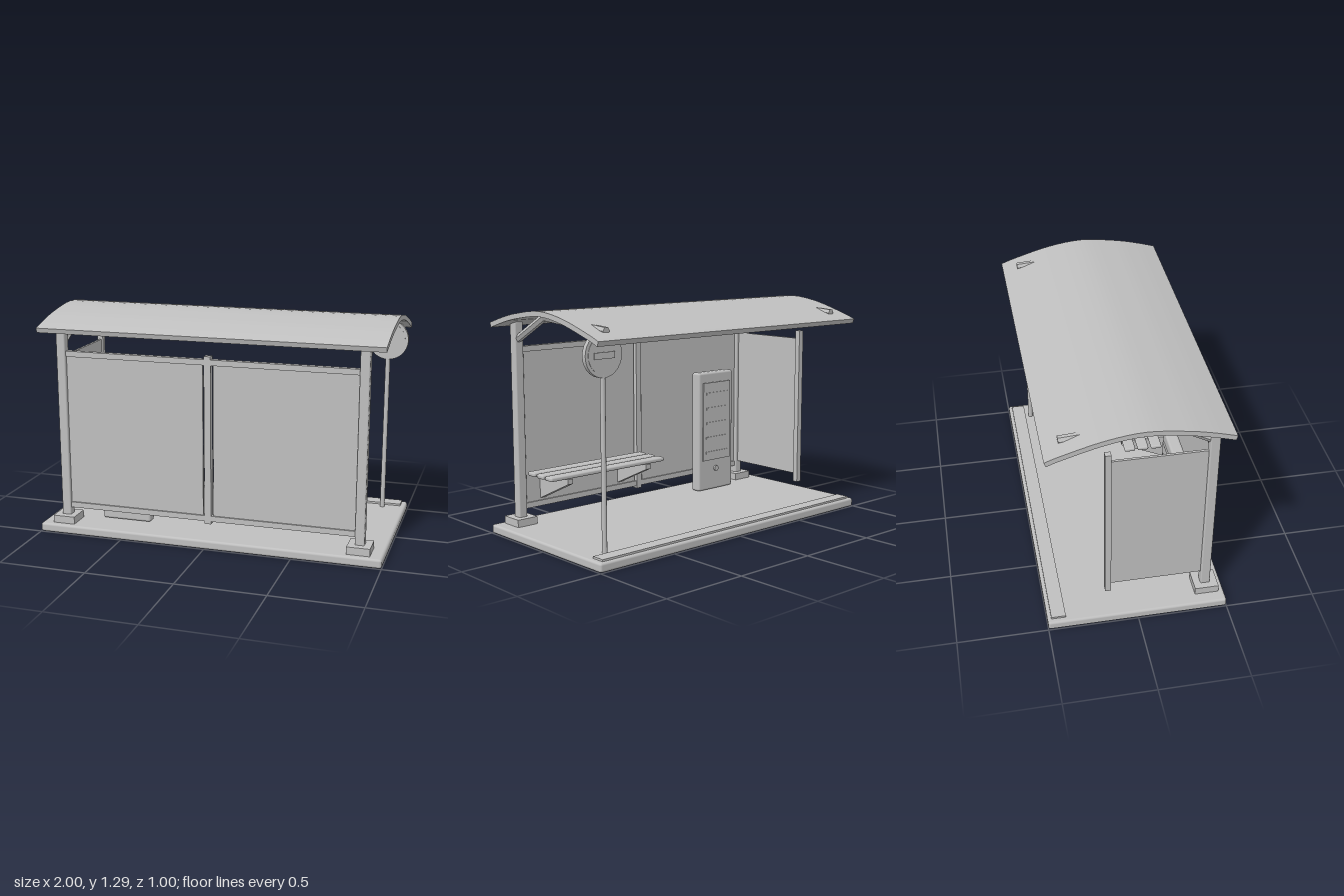
import * as THREE from 'three';
import { RoundedBoxGeometry } from 'three/addons/geometries/RoundedBoxGeometry.js';

export function createModel() {
  const model = new THREE.Group();
  model.name = 'busShelter';
  const grey = new THREE.MeshStandardMaterial({ color: 0xbfbfbf });
  grey.name = 'plainGrey';

  const add = (name, geometry, x = 0, y = 0, z = 0) => {
    const mesh = new THREE.Mesh(geometry, grey);
    mesh.name = name;
    mesh.position.set(x, y, z);
    model.add(mesh);
    return mesh;
  };
  // Boxes are given by their lower and upper limits on each axis
  const box = (name, [x0, x1], [y0, y1], [z0, z1], radius = 0) => {
    const size = [x1 - x0, y1 - y0, z1 - z0];
    const geometry = radius
      ? new RoundedBoxGeometry(...size, 2, radius)
      : new THREE.BoxGeometry(...size);
    return add(name, geometry, (x0 + x1) / 2, (y0 + y1) / 2, (z0 + z1) / 2);
  };
  // Extrudes a (z, y) outline along x, centred on the given x
  const extrudeX = (name, points, width, x) => {
    const shape = new THREE.Shape(points.map(([z, y]) => new THREE.Vector2(-z, y)));
    const geometry = new THREE.ExtrudeGeometry(shape, { depth: width, bevelEnabled: false });
    geometry.translate(0, 0, -width / 2).rotateY(Math.PI / 2);
    return add(name, geometry, x);
  };

  // Ground slab and kerb strip
  box('slab', [-1, 1], [0, 0.052], [-0.5, 0.5], 0.014);
  box('kerbStrip', [-0.97, 0.97], [0.05, 0.063], [-0.48, -0.4]);

  // Curved roof sheet
  const curve = new THREE.SplineCurve([
    [-0.485, 1.17], [-0.4, 1.201], [-0.184, 1.263], [0.02, 1.289],
    [0.225, 1.266], [0.36, 1.237], [0.482, 1.202],
  ].map(([z, y]) => new THREE.Vector2(z, y)));
  const top = [], under = [], roofNormals = [];
  for (let i = 0; i <= 24; i++) {
    const p = curve.getPoint(i / 24), t = curve.getTangent(i / 24);
    top.push([p.x, p.y]);
    under.push([p.x + t.y * 0.028, p.y - t.x * 0.028]);
    roofNormals.push([-t.y, t.x]);
  }
  const roofSheet = (name, line, sign) => {
    const positions = [], normals = [], index = [];
    line.forEach(([z, y], i) => {
      const [nz, ny] = roofNormals[i];
      for (const x of [-0.984, 0.984]) {
        positions.push(x, y, z);
        normals.push(0, ny * sign, nz * sign);
      }
      if (i === 0) return;
      const a = 2 * i - 2, b = a + 1, c = a + 2, d = a + 3;
      index.push(...(sign > 0 ? [a, c, b, b, c, d] : [a, b, c, b, d, c]));
    });
    const geometry = new THREE.BufferGeometry();
    geometry.setAttribute('position', new THREE.Float32BufferAttribute(positions, 3));
    geometry.setAttribute('normal', new THREE.Float32BufferAttribute(normals, 3));
    geometry.setIndex(index);
    add(name, geometry);
  };
  roofSheet('roofTop', top, 1);
  roofSheet('roofUnderside', under, -1);
  // Thin end caps and long edge strips close the sheet
  for (const s of [-1, 1]) {
    extrudeX('roofEnd', [...top, ...under.slice().reverse()], 0.004, s * 0.982);
  }
  for (const i of [0, 24]) {
    const inset = i ? -0.004 : 0.004;
    extrudeX('roofEdge', [top[i], under[i],
      [under[i][0] + inset, under[i][1] + 0.001], [top[i][0] + inset, top[i][1] - 0.001]], 1.968, 0);
  }

  // Posts, footings and bent roof arms on both sides
  const arm = (x, [z0, y0], [z1, y1]) => {
    const dz = z1 - z0, dy = y1 - y0;
    const geometry = new THREE.CylinderGeometry(0.022, 0.022, Math.hypot(dz, dy), 6).toNonIndexed();
    geometry.rotateY(Math.PI / 2);
    geometry.computeVertexNormals();
    add('roofArm', geometry, x, (y0 + y1) / 2, (z0 + z1) / 2).rotation.x = Math.atan2(dz, dy);
  };
  for (const x of [-0.866, 0.866]) {
    box('post', [x - 0.027, x + 0.027], [0.05, 1.205], [0.373, 0.427], 0.008);
    box('footing', [x - 0.065, x + 0.065], [0.05, 0.095], [0.334, 0.468]);
    arm(x, [0.39, 1.107], [0.13, 1.246]);
    arm(x, [0.135, 1.247], [-0.4, 1.208]);
  }

  // Rear wall: two panes, rails and a middle mullion
  for (const s of [-1, 1]) {
    box('rearPane', [s * 0.435 - 0.405, s * 0.435 + 0.405], [0.165, 1.04], [0.393, 0.407]);
  }
  for (const y of [0.153, 1.051]) {
    box('rearRail', [-0.845, 0.845], [y - 0.016, y + 0.016], [0.384, 0.416]);
  }
  box('mullion', [-0.019, 0.019], [0.122, 1.085], [0.381, 0.419]);

  // Side wall
  box('sidePane', [-0.873, -0.859], [0.17, 1.034], [-0.14, 0.38]);
  box('sideWallPost', [-0.883, -0.849], [0.12, 1.083], [-0.166, -0.133]);

  // Bench slats and wall brackets
  for (const z of [0.152, 0.233, 0.315]) {
    box('benchSlat', [0.022, 0.85], [0.337, 0.362], [z - 0.033, z + 0.033], 0.01);
  }
  for (const x of [0.15, 0.72]) {
    extrudeX('benchBracket', [[0.39, 0.335], [0.12, 0.335], [0.12, 0.307], [0.39, 0.182]], 0.035, x);
  }

  // Ticket cabinet with a front plate, rows and a round lock
  box('cabinet', [-0.68, -0.385], [0.055, 0.815], [0.25, 0.32], 0.014);
  box('cabinetPlate', [-0.648, -0.417], [0.25, 0.75], [0.242, 0.251]);
  for (let i = 0; i < 5; i++) {
    const y = 0.68 - i * 0.095;
    box('cabinetRow', [-0.625, -0.44], [y - 0.007, y + 0.007], [0.237, 0.243]);
  }
  add('cabinetLock', new THREE.CylinderGeometry(0.017, 0.017, 0.012, 16), -0.532, 0.19, 0.245)
    .rotation.x = Math.PI / 2;

  // Stop sign on a slim pole: round board, raised face and small plate
  add('signPole', new THREE.CylinderGeometry(0.014, 0.014, 1.14, 12), 0.866, 0.62, -0.365);
  add('signBoard', new THREE.CylinderGeometry(0.118, 0.118, 0.026, 28), 0.866, 1.087, -0.365)
    .rotation.x = Math.PI / 2;
  add('signFace', new THREE.CylinderGeometry(0.1, 0.1, 0.03, 28), 0.866, 1.087, -0.365)
    .rotation.x = Math.PI / 2;
  box('signPlate', [0.801, 0.931], [1.067, 1.101], [-0.386, -0.379]);

  return model;
}
